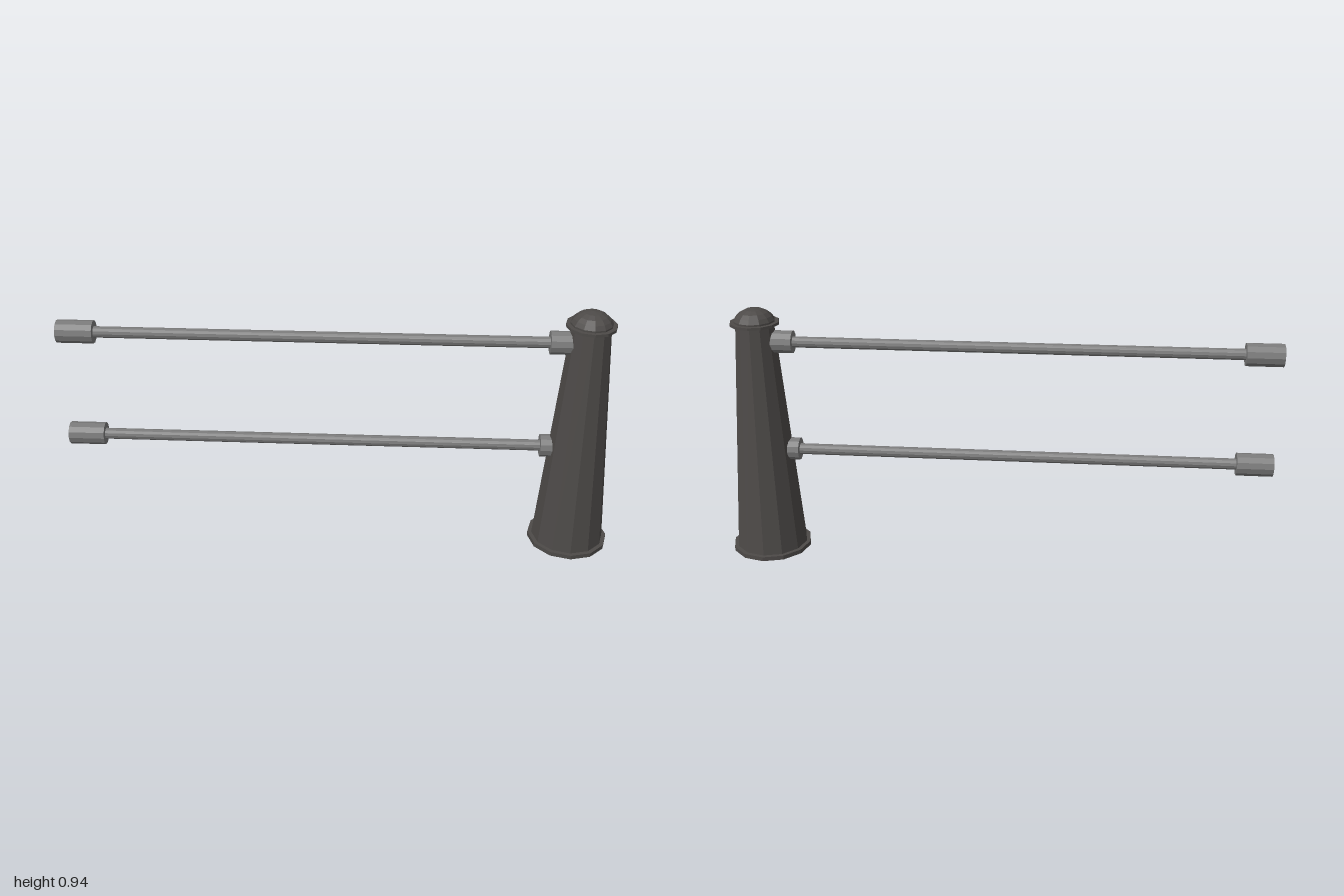
import * as THREE from 'three';

export function createModel() {
  const model = new THREE.Group();
  const iron = new THREE.MeshStandardMaterial({ color: 0x4d4a48, flatShading: true });
  iron.name = 'dark iron';
  const steel = new THREE.MeshStandardMaterial({ color: 0x7a7a7a, flatShading: true });
  steel.name = 'grey steel';

  const add = (parent, name, geometry, material, x, y) => {
    const mesh = new THREE.Mesh(geometry, material);
    mesh.name = name;
    mesh.position.set(x, y, 0);
    parent.add(mesh);
    return mesh;
  };

  // Tapered bollard with a foot ring, collar and domed cap
  const post = new THREE.Group();
  post.name = 'post';
  post.position.x = 0.853;
  model.add(post);
  const ring = (name, rTop, rBottom, y0, y1) =>
    add(post, name, new THREE.CylinderGeometry(rTop, rBottom, y1 - y0, 12), iron, 0, (y0 + y1) / 2);
  ring('footRing', 0.147, 0.147, 0, 0.016);
  ring('taperedShaft', 0.069, 0.132, 0.016, 0.877);
  ring('collar', 0.088, 0.088, 0.876, 0.886);
  const profile = [[0.073, 0], [0.073, 0.006], [0.064, 0.021], [0.05, 0.034], [0.03, 0.044], [0, 0.049]];
  add(post, 'domeCap',
    new THREE.LatheGeometry(profile.map(([r, y]) => new THREE.Vector2(r, y)), 12), iron, 0, 0.886);

  // Two horizontal rails with a thicker socket at each end
  const bar = (parent, name, radius, x0, x1) => {
    const geometry = new THREE.CylinderGeometry(radius, radius, x1 - x0, 12).rotateZ(Math.PI / 2);
    add(parent, name, geometry, steel, (x0 + x1) / 2, 0);
  };
  for (const [name, y] of [['upperRail', 0.813], ['lowerRail', 0.4]]) {
    const rail = new THREE.Group();
    rail.name = name;
    rail.position.y = y;
    model.add(rail);
    bar(rail, 'rod', 0.02, -0.9, 0.75);
    bar(rail, 'outerSocket', 0.041, -1, -0.87);
    bar(rail, 'postSocket', 0.041, 0.718, 0.848);
  }
  return model;
}
